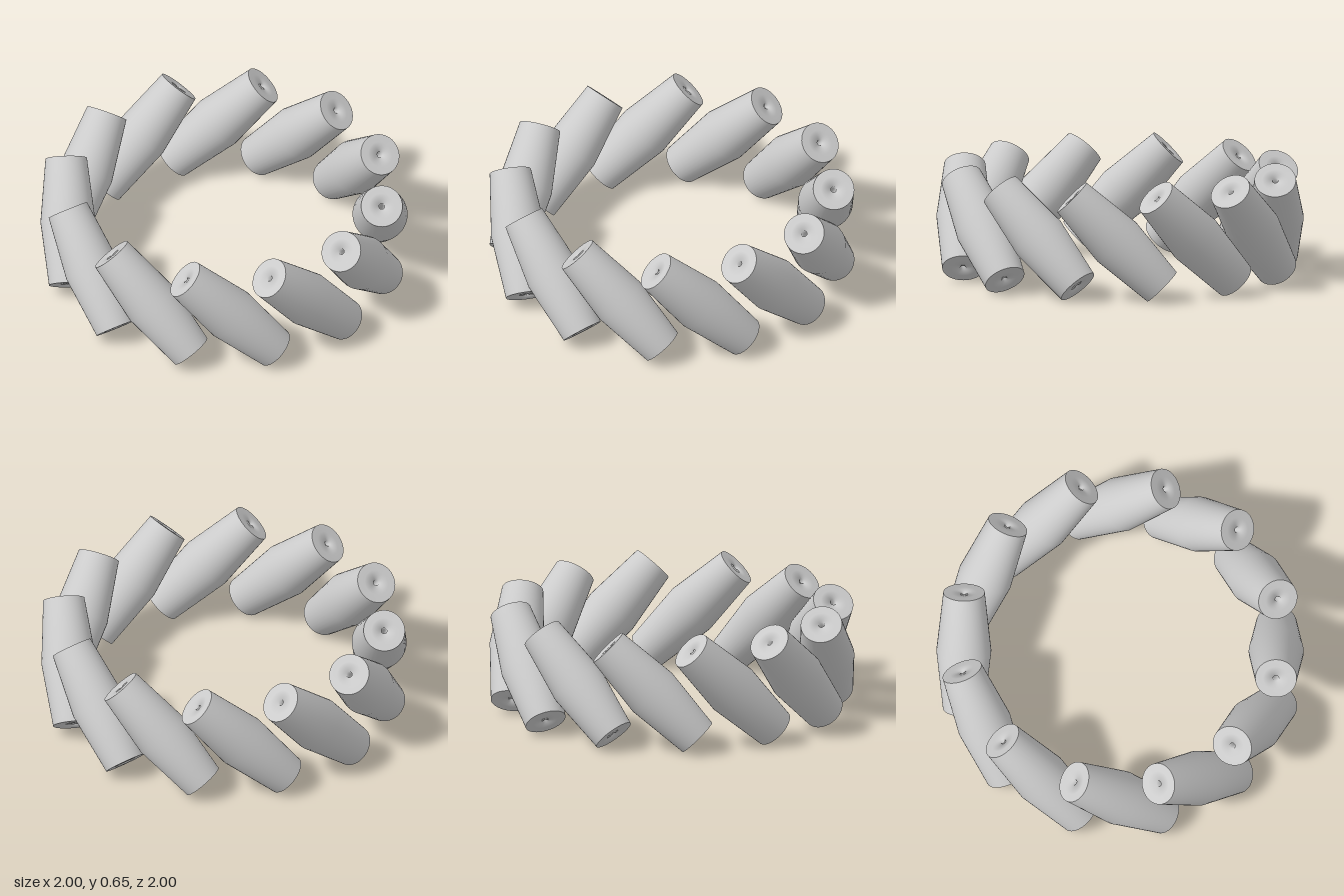
import * as THREE from 'three';
import { mergeGeometries } from 'three/addons/utils/BufferGeometryUtils.js';

const COUNT = 12;
const RING_RADIUS = 0.85;
const HALF = 0.347;      // half length of a bead
const END_R = 0.113;     // radius at the ends
const MID_R = 0.15;      // radius at the waist
const HOLE_R = 0.016;    // thread hole

const lathe = (pts) => new THREE.LatheGeometry(pts.map(([x, y]) => new THREE.Vector2(x, y)), 40);

// Barrel bead: tapered wall, plus end faces that run softly into the thread hole
function beadGeometry() {
  const wall = lathe([[END_R, -HALF], [MID_R, 0], [END_R, HALF]]);
  const endsAndHole = lathe([
    [END_R, HALF], [0.07, HALF], [HOLE_R, HALF - 0.004], [HOLE_R, HALF - 0.05],
    [HOLE_R, 0.05 - HALF], [HOLE_R, 0.004 - HALF], [0.07, -HALF], [END_R, -HALF],
  ]);
  return mergeGeometries([wall, endsAndHole]);
}

export function createModel() {
  const model = new THREE.Group();
  model.name = 'beadRing';
  const material = new THREE.MeshStandardMaterial({ color: 0xcccccc });
  const geometry = beadGeometry();

  // Beads spaced evenly round the ring, each leaning 45 degrees along it
  for (let i = 0; i < COUNT; i++) {
    const holder = new THREE.Group();
    holder.name = `beadHolder${i + 1}`;
    holder.rotation.y = (i / COUNT) * Math.PI * 2;

    const bead = new THREE.Mesh(geometry, material);
    bead.name = `bead${i + 1}`;
    bead.position.set(0, 0.325, RING_RADIUS);
    bead.rotation.z = Math.PI / 4;
    holder.add(bead);
    model.add(holder);
  }
  return model;
}
